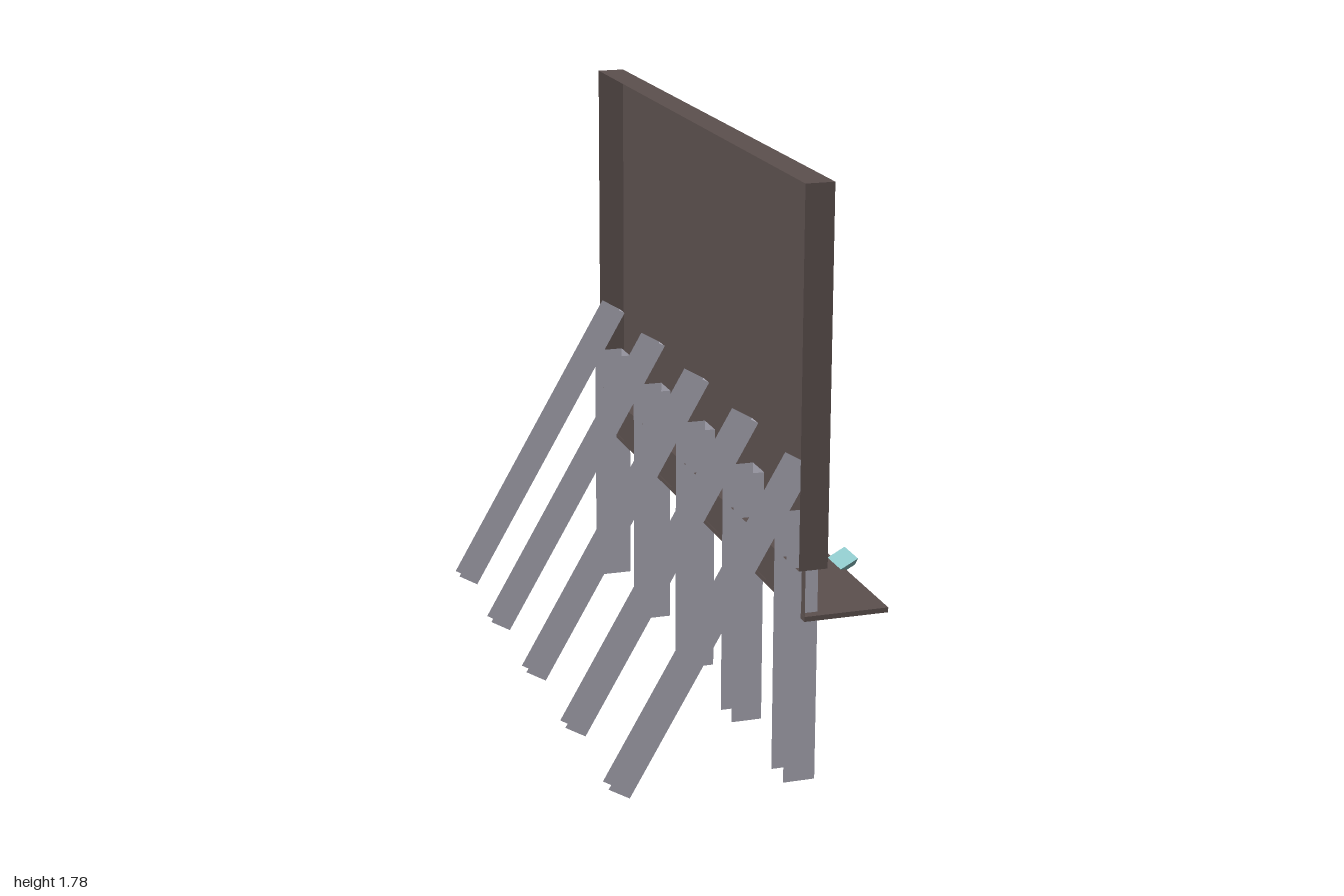
import * as THREE from 'three';

export function createModel() {
  const model = new THREE.Group();
  model.name = 'billboard';

  const flat = (name, color, side = THREE.FrontSide) => {
    const material = new THREE.MeshStandardMaterial({ color, side });
    material.name = name;
    return material;
  };
  const brown = flat('dark brown board', 0x5c504e, THREE.DoubleSide);
  const steel = flat('grey steel', 0xaaa9b5, THREE.DoubleSide);
  const teal = flat('teal lamp', 0x8fc8ca);

  const add = (name, geometry, material, parent = model) => {
    const mesh = new THREE.Mesh(geometry, material);
    mesh.name = name;
    parent.add(mesh);
    return mesh;
  };

  // Box given by its x and y limits, running along z
  const slab = (x0, x1, y0, y1) =>
    new THREE.BoxGeometry(x1 - x0, y1 - y0, 2).translate((x0 + x1) / 2, (y0 + y1) / 2, 0);

  // Sign panel: a shallow tray, open at the back (the -x face is left out)
  const tray = slab(0.118, 0.205, 0.662, 1.782);
  tray.setIndex(Array.from(tray.index.array).filter((_, i) => i < 6 || i >= 12));
  tray.clearGroups();
  add('signPanel', tray, brown);

  add('walkway', slab(0.137, 0.395, 0.507, 0.522), brown);

  // Thin skirt joining panel and walkway
  add('skirt', new THREE.PlaneGeometry(2, 0.155).rotateY(Math.PI / 2).translate(0.138, 0.5845, 0), brown);

  // Sheet-metal U channel: web at x = 0, flanges towards -x, standing on y = 0
  const channel = (name, width, depth, length) => {
    const group = new THREE.Group();
    group.name = name;
    add('web', new THREE.PlaneGeometry(width, length).rotateY(Math.PI / 2).translate(0, length / 2, 0), steel, group);
    for (const side of [-1, 1]) {
      const flange = new THREE.PlaneGeometry(depth, length);
      if (side < 0) flange.rotateY(Math.PI);
      add('flange', flange.translate(-depth / 2, length / 2, side * width / 2), steel, group);
    }
    model.add(group);
    return group;
  };

  // Upright posts with slanted braces, both ending inside the tray
  for (const z of [-0.92, -0.46, 0, 0.46, 0.92]) {
    channel('post', 0.1, 0.097, 0.8).position.set(0.188, 0, z);
    const brace = channel('brace', 0.058, 0.073, 1.09);
    brace.position.set(-0.37, 0.005, z);
    brace.rotation.z = -Math.PI / 6;
  }

  // Floodlights: tapered boxes tilted towards the panel
  const lampShape = new THREE.BoxGeometry(0.062, 0.025, 0.11);
  const p = lampShape.attributes.position;
  for (let i = 0; i < p.count; i++) {
    if (p.getY(i) < 0) p.setXYZ(i, p.getX(i) * 0.6, p.getY(i), p.getZ(i) * 0.55);
  }
  lampShape.computeVertexNormals();
  for (const z of [-0.62, 0, 0.62]) {
    const lamp = add('floodlight', lampShape, teal);
    lamp.position.set(0.409, 0.53, z);
    lamp.rotation.z = 0.49;
  }

  return model;
}
